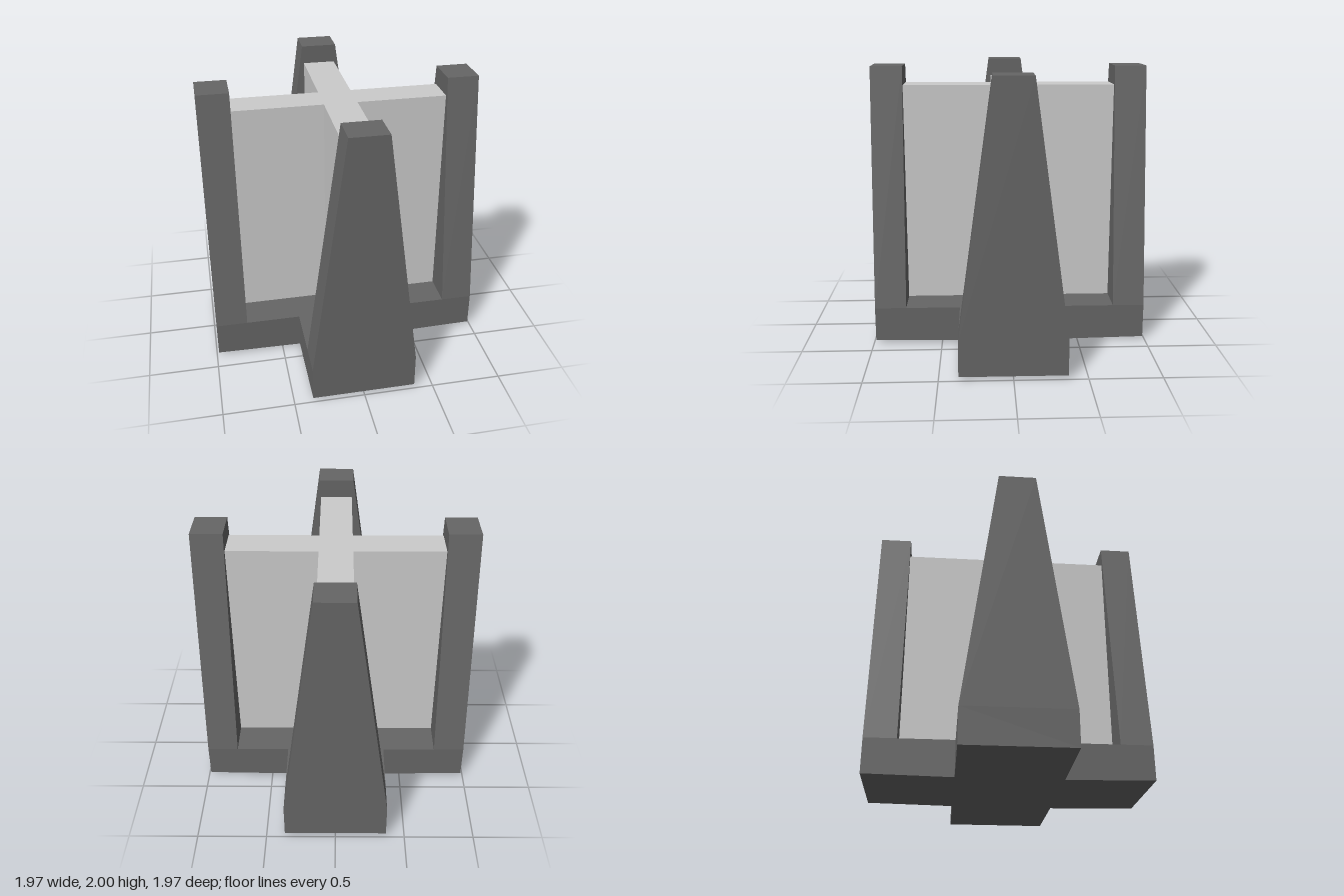
import * as THREE from 'three';

const dark = new THREE.MeshStandardMaterial({ color: 0x666666, flatShading: true });
const light = new THREE.MeshStandardMaterial({ color: 0xcccccc, flatShading: true });

const REACH = 0.985, HALF_WIDTH = 0.367, FLOOR = 0.272, POST_INNER = 0.758;

// Outline of a plus sign in x and z
function plusOutline(reach, half) {
  const points = [];
  for (let k = 0, c = 1, s = 0; k < 4; k++, [c, s] = [-s, c]) {
    for (const [x, z] of [[reach, -half], [reach, half], [half, half]]) {
      points.push([x * c - z * s, x * s + z * c]);
    }
  }
  return points;
}

// Upright plus-shaped prism; sag lifts the underside with distance from the middle
function plusPrism(reach, half, bottom, top, sag = 0) {
  const outline = plusOutline(reach, half);
  const low = outline.map(([x, z]) => [x, bottom + sag * Math.hypot(x, z), z]);
  const high = outline.map(([x, z]) => [x, top, z]);
  const tris = [];
  for (let i = 0; i < outline.length; i++) {
    const j = (i + 1) % outline.length;
    tris.push(low[i], high[i], high[j], low[i], high[j], low[j]);
    tris.push([0, top, 0], high[j], high[i], [0, bottom, 0], low[i], low[j]);
  }
  const geometry = new THREE.BufferGeometry();
  geometry.setAttribute('position', new THREE.Float32BufferAttribute(tris.flat(), 3));
  geometry.computeVertexNormals();
  return geometry;
}

export function createModel() {
  const model = new THREE.Group();
  const add = (name, geometry, material) => {
    const mesh = new THREE.Mesh(geometry, material);
    mesh.name = name;
    model.add(mesh);
    return mesh;
  };

  // Plus-shaped base with a very shallow pointed underside
  add('base', plusPrism(REACH, HALF_WIDTH, 0.002, FLOOR, 0.021), dark);

  // Crossed panels standing on the base
  add('crossPanels', plusPrism(POST_INNER + 0.005, 0.118, FLOOR - 0.02, 1.865), light);

  // Tapered post at the end of each arm
  const face = new THREE.Shape([
    new THREE.Vector2(-HALF_WIDTH, FLOOR), new THREE.Vector2(HALF_WIDTH, FLOOR),
    new THREE.Vector2(0.13, 2), new THREE.Vector2(-0.13, 2),
  ]);
  const post = new THREE.ExtrudeGeometry(face, { depth: REACH - POST_INNER, bevelEnabled: false });
  post.translate(0, 0, POST_INNER);
  ['frontPost', 'leftPost', 'backPost', 'rightPost'].forEach((name, k) => {
    add(name, post, dark).rotation.y = k * Math.PI / 2;
  });

  return model;
}
